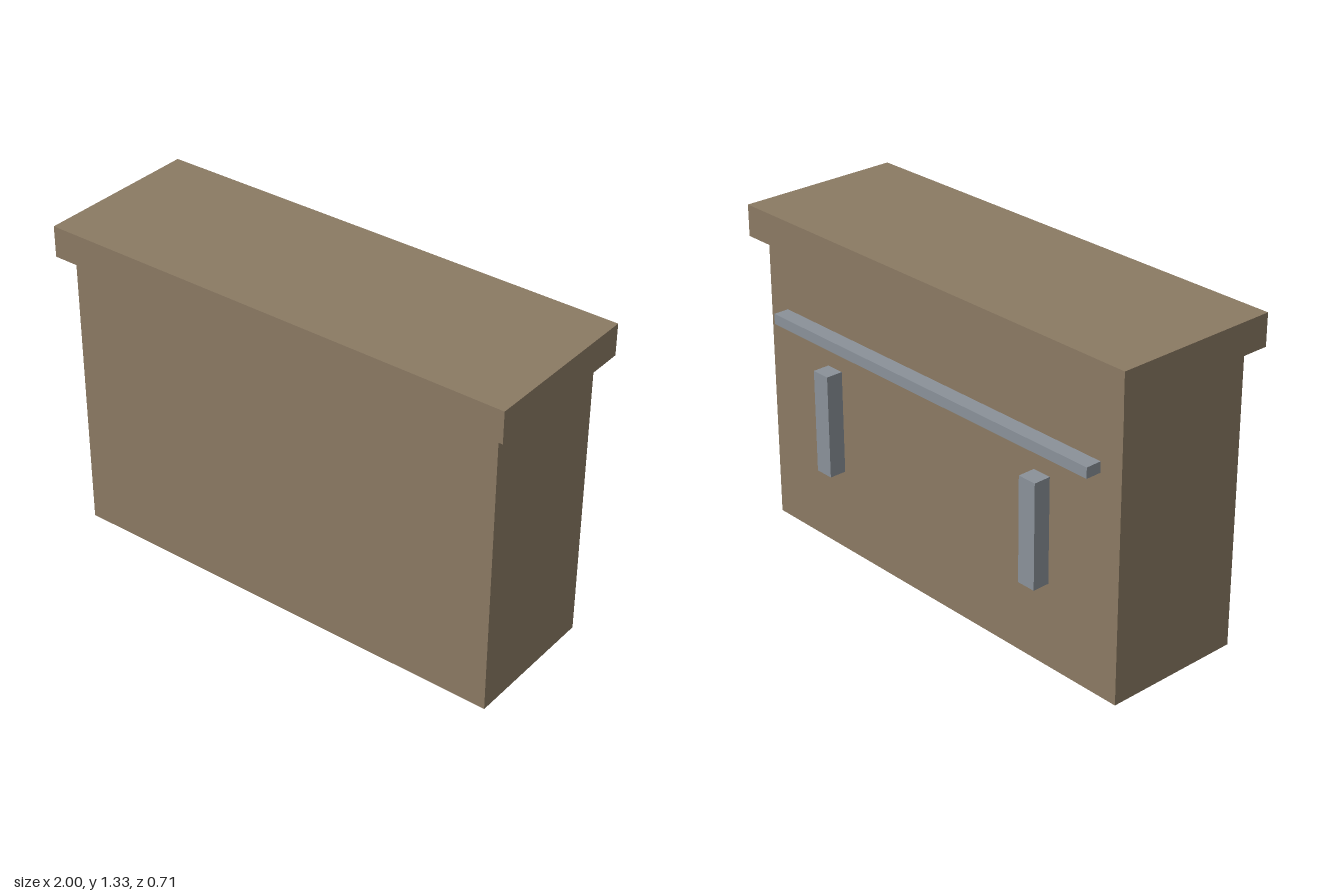
import * as THREE from 'three';

export function createModel() {
  const group = new THREE.Group();
  const wood = new THREE.MeshStandardMaterial({ color: 0x8b7a63 });
  wood.name = 'brown wood';
  const metal = new THREE.MeshStandardMaterial({ color: 0x8a9199 });
  metal.name = 'grey metal';

  // Box given by its minimum and maximum corners
  function box(name, material, [x0, y0, z0], [x1, y1, z1]) {
    const mesh = new THREE.Mesh(new THREE.BoxGeometry(x1 - x0, y1 - y0, z1 - z0), material);
    mesh.position.set((x0 + x1) / 2, (y0 + y1) / 2, (z0 + z1) / 2);
    mesh.name = name;
    group.add(mesh);
  }

  // Cabinet and overhanging counter top
  box('cabinetBody', wood, [-0.95, 0, -0.282], [0.95, 1.198, 0.302]);
  box('counterTop', wood, [-1, 1.198, -0.336], [1, 1.326, 0.354]);

  // Long rail and two upright door handles on the back
  box('rail', metal, [-0.85, 0.882, -0.347], [0.85, 0.925, -0.282]);
  for (const [side, x] of [['left', 0.568], ['right', -0.568]]) {
    box(side + 'Handle', metal, [x - 0.04, 0.343, -0.353], [x + 0.04, 0.77, -0.282]);
  }

  return group;
}
